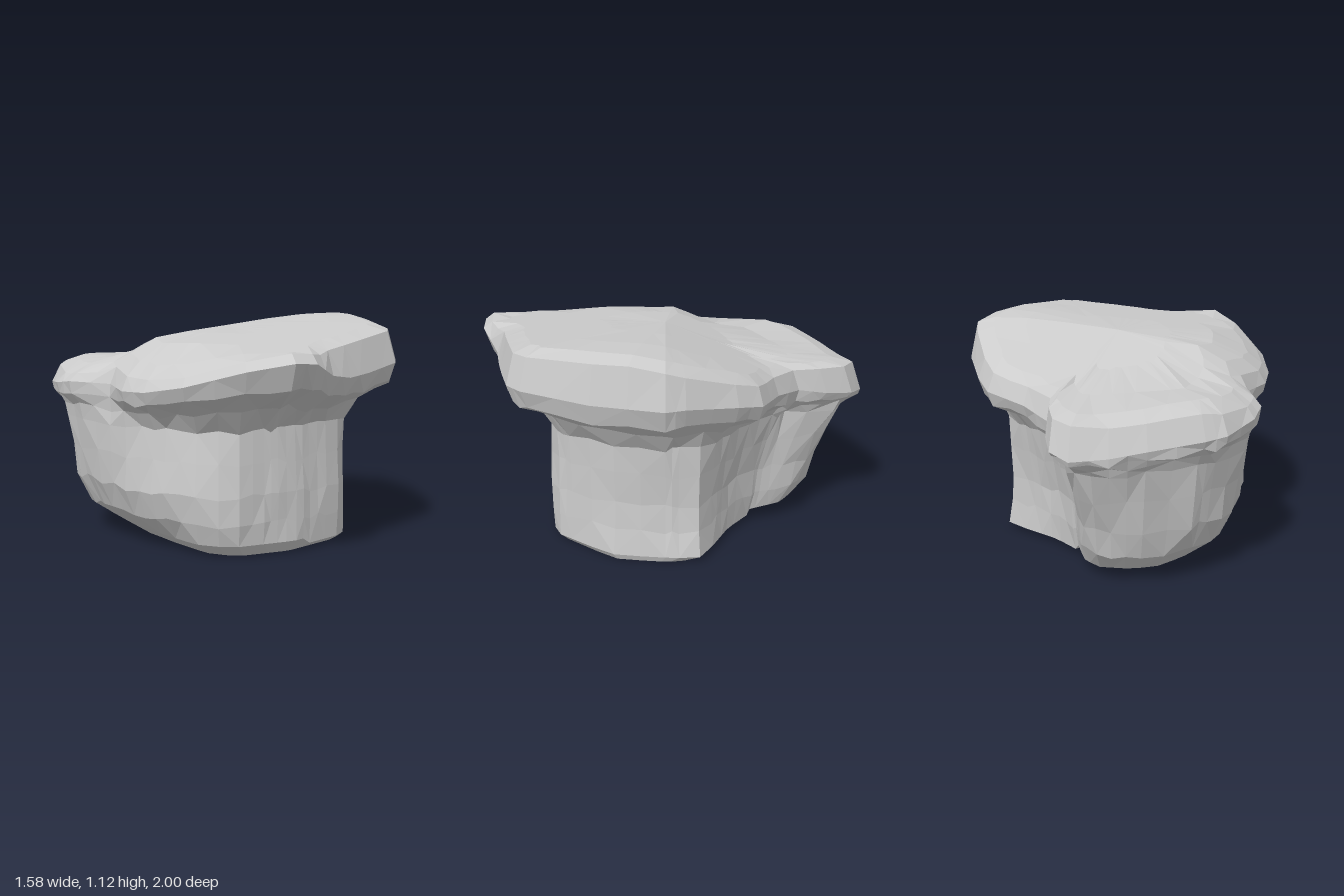
import * as THREE from 'three';

// Rim of the overhanging cap: x, y, z
const RIM = [
  [-.11, .70, -1], [0, .72, -.95], [.07, .74, -.82], [.12, .77, -.68], [.28, .80, -.58], [.5, .83, -.51],
  [.6, .86, -.4], [.75, .9, -.17], [.79, .9, -.08], [.74, .9, .27], [.6, .9, .62], [.53, .9, .7],
  [.3, .87, .78], [.15, .86, .83], [.02, .88, .87], [-.15, .95, .98], [-.28, .96, 1], [-.44, .92, .86],
  [-.62, .84, .62], [-.7, .8, .4], [-.72, .79, .22], [-.67, .8, 0], [-.79, .8, -.22], [-.79, .78, -.37],
  [-.72, .76, -.6], [-.64, .75, -.68], [-.42, .73, -.84], [-.27, .71, -.93],
];
// Outlines of the stem: x, z
const NECK = [
  [.55, 0], [.53, .25], [.35, .53], [0, .59], [-.33, .58], [-.48, .39], [-.64, .1], [-.72, -.15], [-.74, -.35],
  [-.62, -.6], [-.4, -.8], [-.12, -.92], [-.02, -.84], [.02, -.62], [.24, -.42], [.42, -.3], [.53, -.21],
];
const MIDDLE = [
  [.53, 0], [.52, .23], [.35, .54], [0, .61], [-.35, .59], [-.51, .43], [-.64, .15], [-.69, -.15], [-.68, -.4],
  [-.55, -.6], [-.35, -.74], [-.12, -.79], [-.03, -.68], [.05, -.5], [.22, -.36], [.4, -.27], [.51, -.22],
];
const FOOT = [
  [.56, 0], [.55, .22], [.36, .53], [0, .61], [-.33, .56], [-.44, .42], [-.48, .15], [-.5, -.15], [-.48, -.4],
  [-.4, -.55], [-.28, -.63], [-.12, -.66], [-.03, -.6], [.06, -.45], [.22, -.35], [.42, -.28], [.55, -.22],
];

// Point where the ray from the centre towards (dx, dz) meets an outline
function hit(outline, dx, dz) {
  for (let i = 0; i < outline.length; i++) {
    const [ax, az] = outline[i], [bx, bz] = outline[(i + 1) % outline.length];
    const ex = bx - ax, ez = bz - az, d = dx * ez - dz * ex;
    const t = (ax * ez - az * ex) / d, s = (ax * dz - az * dx) / d;
    if (t > 0 && s >= -1e-6 && s <= 1 + 1e-6) return [dx * t, dz * t];
  }
  return [0, 0];
}

// Height of the tilted top: high on the left, falling to the back and right, with a raised back lobe
function topHeight(x, z) {
  const slope = 1.065 + .1 * Math.min(x, .5) - .4 * Math.max(-.4 - x, 0)
    - .36 * Math.min(Math.max(-z - .02, 0), .5) - .08 * Math.max(z - .2, 0);
  const lobe = .9 - .15 * Math.max(-.6 - z, 0) - .3 * Math.max(-.6 - x, 0);
  return Math.max(slope, lobe);
}

export function createModel() {
  let seed = 7;
  const wobble = (size) => {
    seed = (seed * 16807) % 2147483647;
    return (seed / 2147483647 - .5) * size;
  };
  const V = (x, y, z) => new THREE.Vector3(x, y, z);

  // One vertical profile per direction, from the underside centre to the top centre
  const columns = [];
  RIM.forEach((p, i) => {
    const q = RIM[(i + 1) % RIM.length];
    for (const f of [0, .5]) {
      const rim = V(...p).lerp(V(...q), f);
      const at = (outline, y) => {
        const [x, z] = hit(outline, rim.x, rim.z);
        return V(x, y, z);
      };
      const neck = at(NECK, .61), middle = at(MIDDLE, .3);
      const foot = at(FOOT, rim.x > .1 ? .03 : .06);
      const under = (t, h) => V(
        rim.x + (neck.x - rim.x) * t, rim.y + (neck.y - rim.y) * h, rim.z + (neck.z - rim.z) * t);
      const top = (s) => V(rim.x * s, topHeight(rim.x * s, rim.z * s), rim.z * s);
      const shoulder = top(.95);
      shoulder.y = Math.max(shoulder.y - .025, rim.y + .04);
      const profile = [
        V(0, 0, 0), V(foot.x * (rim.x < 0 ? .82 : .98), 0, foot.z * (rim.z < 0 ? .65 : .92)), foot,
        foot.clone().lerp(middle, .68).setY(.16), middle,
        middle.clone().lerp(neck, .5).setY(.46), neck,
        under(.72, .65), under(.13, .33), rim, shoulder,
      ];
      // Chipped, uneven sides; foot and rim stay in place
      profile.forEach((v, k) => {
        if (k < 3 || k > 8) return;
        const r = 1 + wobble(.016);
        v.set(v.x * r, v.y + wobble(.03), v.z * r);
      });
      for (const s of [.84, .62, .34]) profile.push(top(s + wobble(.03)));
      profile.push(V(0, topHeight(0, 0), 0));
      columns.push(profile);
    }
  });

  const rows = columns[0].length, n = columns.length;
  const positions = columns.flat().flatMap((v) => v.toArray());
  const index = [];
  for (let c = 0; c < n; c++) {
    const a = c * rows, b = ((c + 1) % n) * rows;
    for (let r = 0; r < rows - 1; r++) {
      const lo = a + r, hi = lo + 1, lo2 = b + r, hi2 = lo2 + 1;
      if (r === 0) index.push(lo, hi, hi2);
      else if (r === rows - 2) index.push(lo, hi, lo2);
      else if ((r + c) % 2) index.push(lo, hi, lo2, lo2, hi, hi2);
      else index.push(lo, hi, hi2, lo, hi2, lo2);
    }
  }
  const geometry = new THREE.BufferGeometry();
  geometry.setAttribute('position', new THREE.Float32BufferAttribute(positions, 3));
  geometry.setIndex(index);
  geometry.computeVertexNormals();

  const rock = new THREE.Mesh(geometry, new THREE.MeshStandardMaterial({ color: 0xcccccc, flatShading: true }));
  rock.name = 'rock';
  const group = new THREE.Group();
  group.name = 'overhangingRock';
  group.add(rock);
  return group;
}
